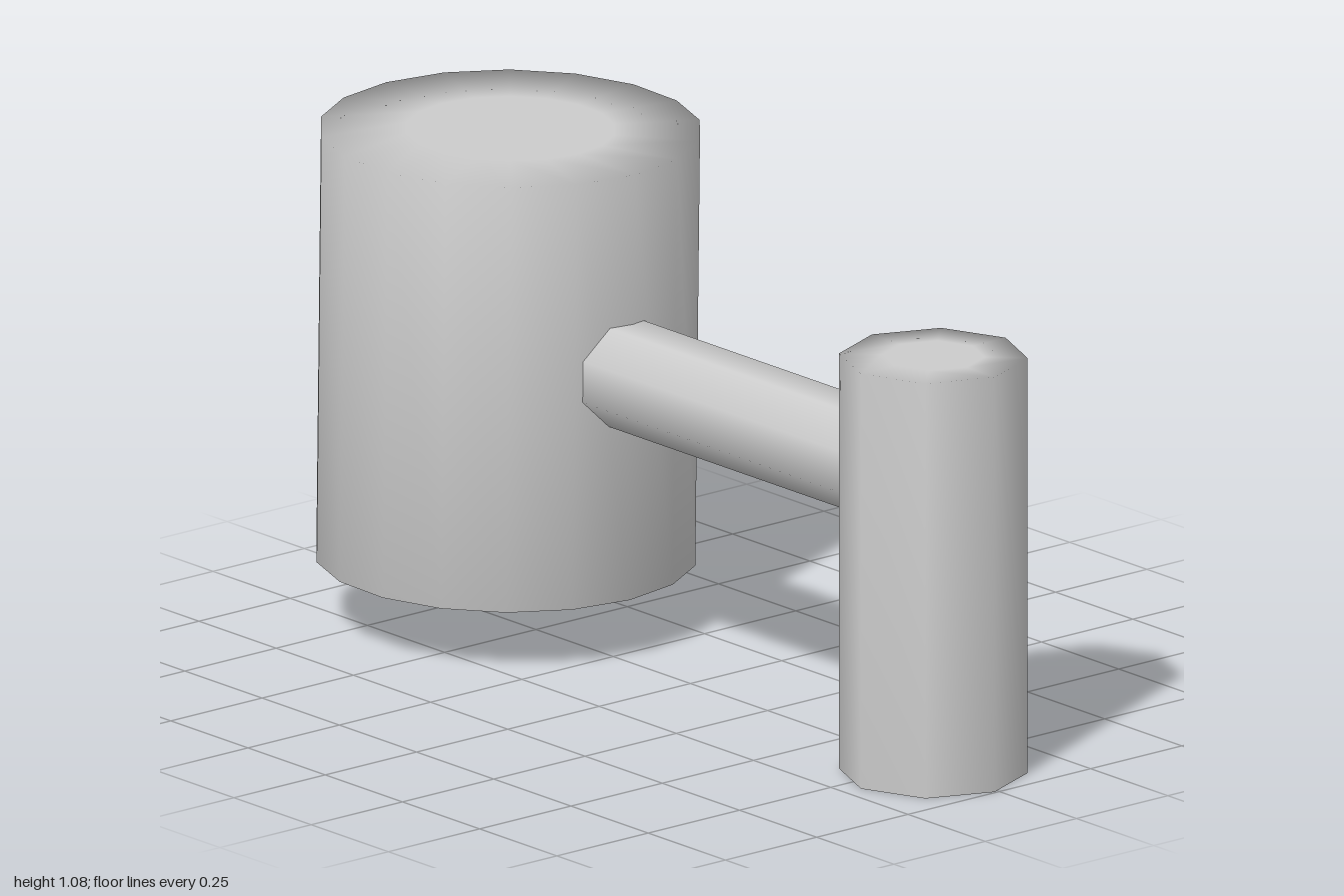
import * as THREE from 'three';

const material = new THREE.MeshStandardMaterial({ color: 0xcccccc });

// Upright drum with flat ends; an inset ring lets the shading roll softly over the rim.
function drum(name, radius, height, sides, softBottom) {
  const h = height / 2, inset = radius * 0.55;
  const p = (x, y) => new THREE.Vector2(x, y);
  const profile = [p(0, -h), p(inset, -h), p(radius, -h), p(radius, h), p(inset, h), p(0, h)];
  const body = softBottom ? profile : profile.slice(2);
  const group = new THREE.Group();
  group.name = name;
  const shell = new THREE.Mesh(new THREE.LatheGeometry(body, sides, Math.PI / 2), material);
  shell.name = name + 'Body';
  group.add(shell);
  if (!softBottom) {
    const cap = new THREE.Mesh(new THREE.CircleGeometry(radius, sides), material);
    cap.name = name + 'Base';
    cap.rotation.x = Math.PI / 2;
    cap.position.y = -h;
    group.add(cap);
  }
  return group;
}

export function createModel() {
  const model = new THREE.Group();
  model.name = 'linkedCylinders';

  // Large drum, leaning very slightly
  const large = drum('largeDrum', 0.402, 0.934, 18, true);
  large.position.set(-0.59, 0.613, 0);
  large.rotation.z = -0.016;
  model.add(large);

  // Small eight-sided post
  const small = drum('smallPost', 0.198, 0.908, 8, false);
  small.position.set(0.798, 0.457, 0.01);
  model.add(small);

  // Connecting bar, its ends sunk into both cylinders
  const barGeometry = new THREE.CylinderGeometry(0.117, 0.117, 1.0, 8);
  barGeometry.rotateY(Math.PI / 8).rotateZ(Math.PI / 2);
  const bar = new THREE.Mesh(barGeometry, material);
  bar.name = 'connectingBar';
  bar.position.set(0.2, 0.637, 0.01);
  model.add(bar);

  return model;
}
